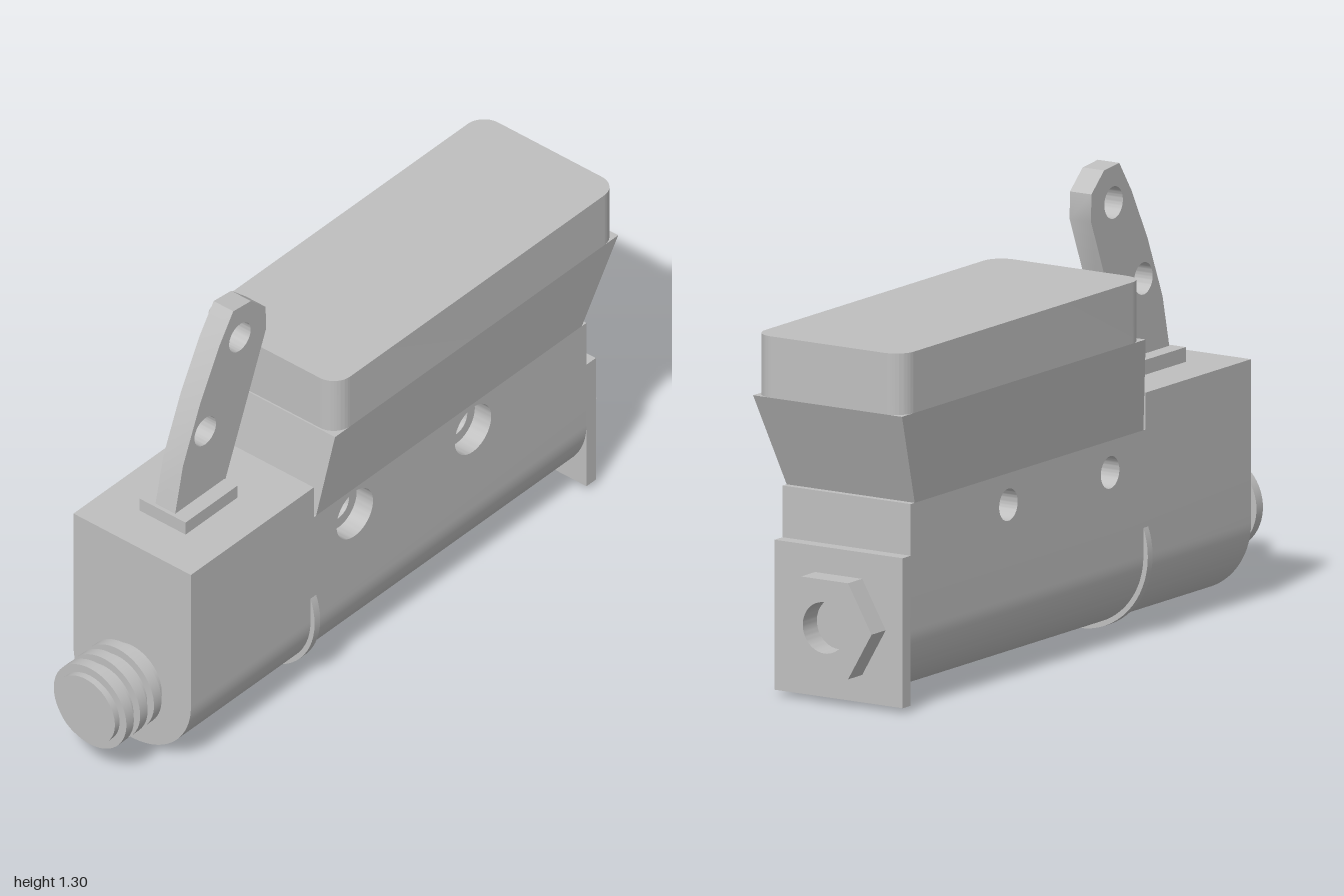
import * as THREE from 'three';
import { toCreasedNormals } from 'three/addons/utils/BufferGeometryUtils.js';

export function createModel() {
  const group = new THREE.Group();
  const grey = new THREE.MeshStandardMaterial({ color: 0xbfbfbf });
  grey.name = 'plain grey';

  const add = (name, geometry) => {
    const mesh = new THREE.Mesh(geometry, grey);
    mesh.name = name;
    group.add(mesh);
    return mesh;
  };
  const polygon = (pts) => new THREE.Shape(pts.map(([x, y]) => new THREE.Vector2(x, y)));
  const drill = (shape, x, y, r) => {
    shape.holes.push(new THREE.Path().absarc(x, y, r, 0, Math.PI * 2, true));
    return shape;
  };
  const extrude = (shape, depth) => toCreasedNormals(
    new THREE.ExtrudeGeometry(shape, { depth, bevelEnabled: false, curveSegments: 32 }), 0.5);
  // Extrusion across the model, from z0 to z1
  const slab = (name, shape, z0, z1) => add(name, extrude(shape, z1 - z0).translate(0, 0, z0));
  // Extrusion along the model, from x0 to x1; the shape is drawn in (-z, y)
  const bar = (name, shape, x0, x1) =>
    add(name, extrude(shape, x1 - x0).rotateY(Math.PI / 2).translate(x0, 0, 0));
  const box = (name, x0, x1, y0, y1, z) =>
    add(name, new THREE.BoxGeometry(x1 - x0, y1 - y0, z * 2).translate((x0 + x1) / 2, (y0 + y1) / 2, 0));
  const axisY = 0.231;
  const disc = (name, x0, x1, r) =>
    add(name, new THREE.CylinderGeometry(r, r, x1 - x0, 64).rotateZ(Math.PI / 2).translate((x0 + x1) / 2, axisY, 0));

  // Round-bottomed lower body
  const halfZ = 0.215;
  const trough = new THREE.Shape();
  trough.moveTo(-halfZ, 0.38);
  trough.lineTo(-halfZ, axisY);
  trough.absarc(0, axisY, halfZ, Math.PI, Math.PI * 2, false);
  trough.lineTo(halfZ, 0.38);
  bar('lowerBody', trough, -0.8, 0.89);

  // Upper body in two layers, so the bolt holes are counterbored from the front
  const upper = (r) => {
    const s = polygon([[-0.8, 0.38], [0.89, 0.38], [0.89, 0.59], [-0.275, 0.59], [-0.275, 0.695], [-0.8, 0.695]]);
    for (const x of [-0.1, 0.405]) drill(s, x, 0.5, r);
    return s;
  };
  slab('upperBodyBack', upper(0.046), -halfZ, 0.155);
  slab('upperBodyFront', upper(0.078), 0.155, halfZ);

  // Flared reservoir: a box whose bottom corners are drawn inwards
  const flare = new THREE.BoxGeometry(1, 1, 1);
  const p = flare.attributes.position;
  for (let i = 0; i < p.count; i++) {
    const top = p.getY(i) > 0, right = p.getX(i) > 0;
    const x = top ? (right ? 0.985 : -0.225) : (right ? 0.87 : -0.265);
    p.setXYZ(i, x, top ? 0.86 : 0.59, Math.sign(p.getZ(i)) * (top ? 0.25 : halfZ));
  }
  flare.computeVertexNormals();
  add('reservoir', flare);

  // Reservoir cap with rounded vertical edges
  const [cx0, cx1, cz, cr] = [-0.22, 0.985, 0.25, 0.06];
  const cap = new THREE.Shape();
  cap.absarc(cx1 - cr, cz - cr, cr, 0, Math.PI / 2, false);
  cap.absarc(cx0 + cr, cz - cr, cr, Math.PI / 2, Math.PI, false);
  cap.absarc(cx0 + cr, cr - cz, cr, Math.PI, Math.PI * 1.5, false);
  cap.absarc(cx1 - cr, cr - cz, cr, Math.PI * 1.5, Math.PI * 2, false);
  cap.closePath();
  add('reservoirCap', extrude(cap, 0.175).rotateX(-Math.PI / 2).translate(0, 0.86, 0));

  // End plate and hexagonal fitting with its bore
  box('endPlate', 0.89, 0.93, 0.016, 0.443, halfZ);
  const hex = polygon(Array.from({ length: 6 }, (_, i) => {
    const a = i * Math.PI / 3;
    return [0.158 * Math.cos(a), axisY + 0.158 * Math.sin(a)];
  }));
  bar('hexFitting', drill(hex, 0, axisY, 0.073), 0.93, 1);

  // Thin band round the body
  disc('bodyBand', -0.289, -0.265, 0.23);

  // Ribbed spigot
  disc('spigot', -1, -0.8, 0.108);
  for (const x of [-0.98, -0.921, -0.862]) disc('spigotRib', x, x + 0.032, 0.133);

  // Lever and its foot
  box('leverFoot', -0.67, -0.448, 0.695, 0.737, 0.084);
  const lever = polygon([[-0.445, 0.73], [-0.27, 1.16], [-0.272, 1.238], [-0.335, 1.295], [-0.41, 1.303],
    [-0.47, 1.215], [-0.55, 1.065], [-0.625, 0.885], [-0.66, 0.73]]);
  drill(lever, -0.53, 0.952, 0.046);
  drill(lever, -0.382, 1.195, 0.046);
  slab('lever', lever, -0.036, 0.036);

  return group;
}
